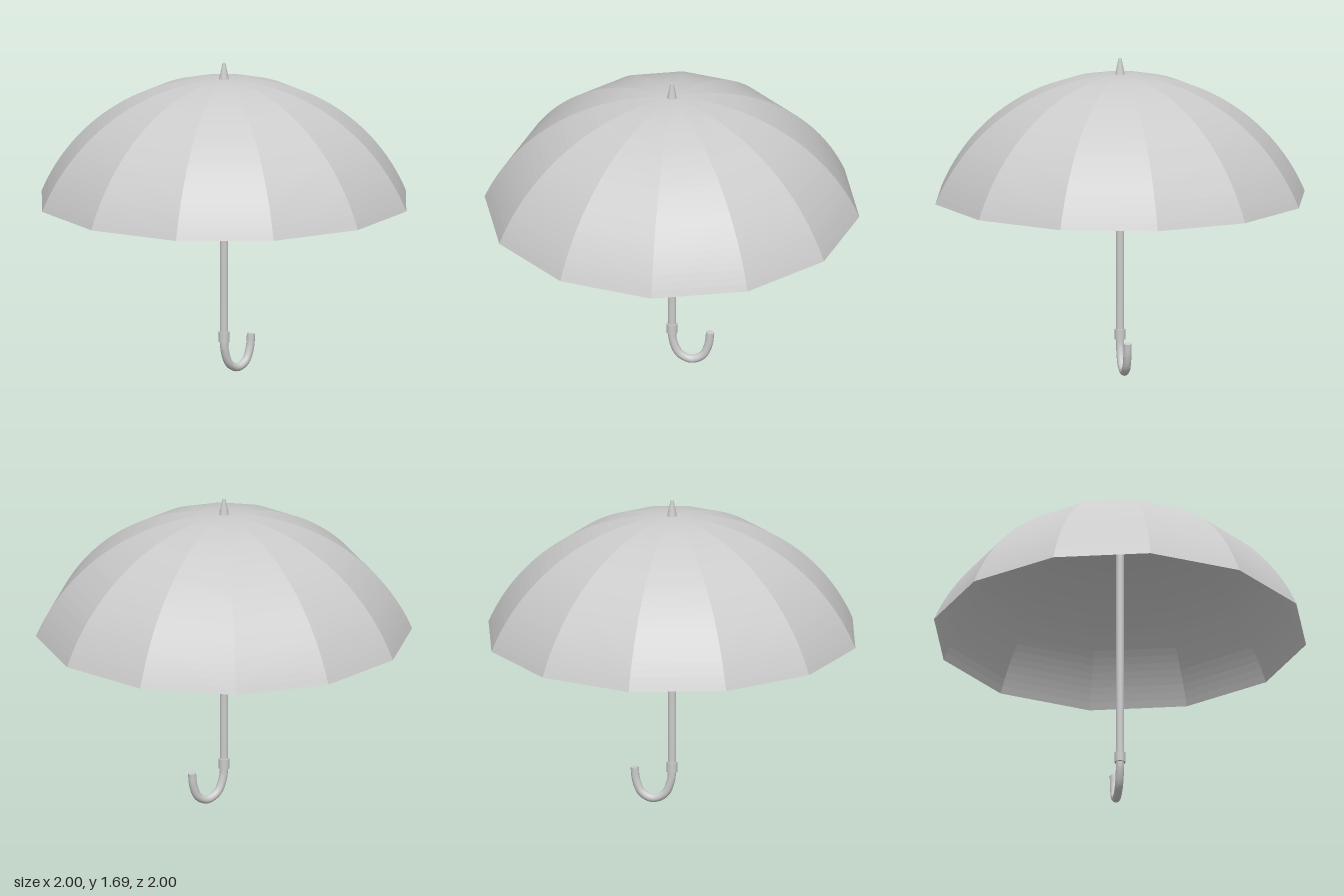
import * as THREE from 'three';

export function createModel() {
  const group = new THREE.Group();
  const grey = new THREE.MeshStandardMaterial({ color: 0xcccccc });
  const cloth = new THREE.MeshStandardMaterial({ color: 0xcccccc, flatShading: true, side: THREE.DoubleSide });

  const add = (name, geometry, material = grey, y = 0) => {
    const mesh = new THREE.Mesh(geometry, material);
    mesh.name = name;
    mesh.position.y = y;
    group.add(mesh);
    return mesh;
  };

  // Canopy: twelve panels following a spherical cap
  const rimY = 0.945, topY = 1.61, rise = topY - rimY;
  const radius = (1 + rise * rise) / (2 * rise);
  const rimAngle = Math.asin(1 / radius);
  const profile = [];
  const rings = 32;
  for (let i = 0; i <= rings; i++) {
    const a = rimAngle * (1 - i / rings);
    profile.push(new THREE.Vector2(radius * Math.sin(a), topY - radius * (1 - Math.cos(a))));
  }
  add('canopy', new THREE.LatheGeometry(profile, 12), cloth);

  // Tapered tip above the canopy
  add('tip', new THREE.CylinderGeometry(0.008, 0.027, 0.09, 16), grey, 1.65);

  // Shaft from the handle to the top of the canopy
  add('shaft', new THREE.CylinderGeometry(0.022, 0.022, 1.4, 16), grey, 0.905);

  // Collar where the shaft meets the handle
  add('collar', new THREE.CylinderGeometry(0.029, 0.029, 0.055, 16), grey, 0.208);

  // Hooked handle curving towards the back
  const hook = new THREE.CatmullRomCurve3([
    [0, 0.215], [-0.005, 0.135], [-0.04, 0.055], [-0.105, 0.025],
    [-0.165, 0.053], [-0.195, 0.12], [-0.204, 0.193],
  ].map(([z, y]) => new THREE.Vector3(0, y, z)));
  add('handle', new THREE.TubeGeometry(hook, 40, 0.022, 16));

  // Flat end of the handle
  const end = add('handleEnd', new THREE.CircleGeometry(0.022, 16));
  end.position.copy(hook.getPoint(1));
  end.quaternion.setFromUnitVectors(new THREE.Vector3(0, 0, 1), hook.getTangent(1));

  return group;
}
